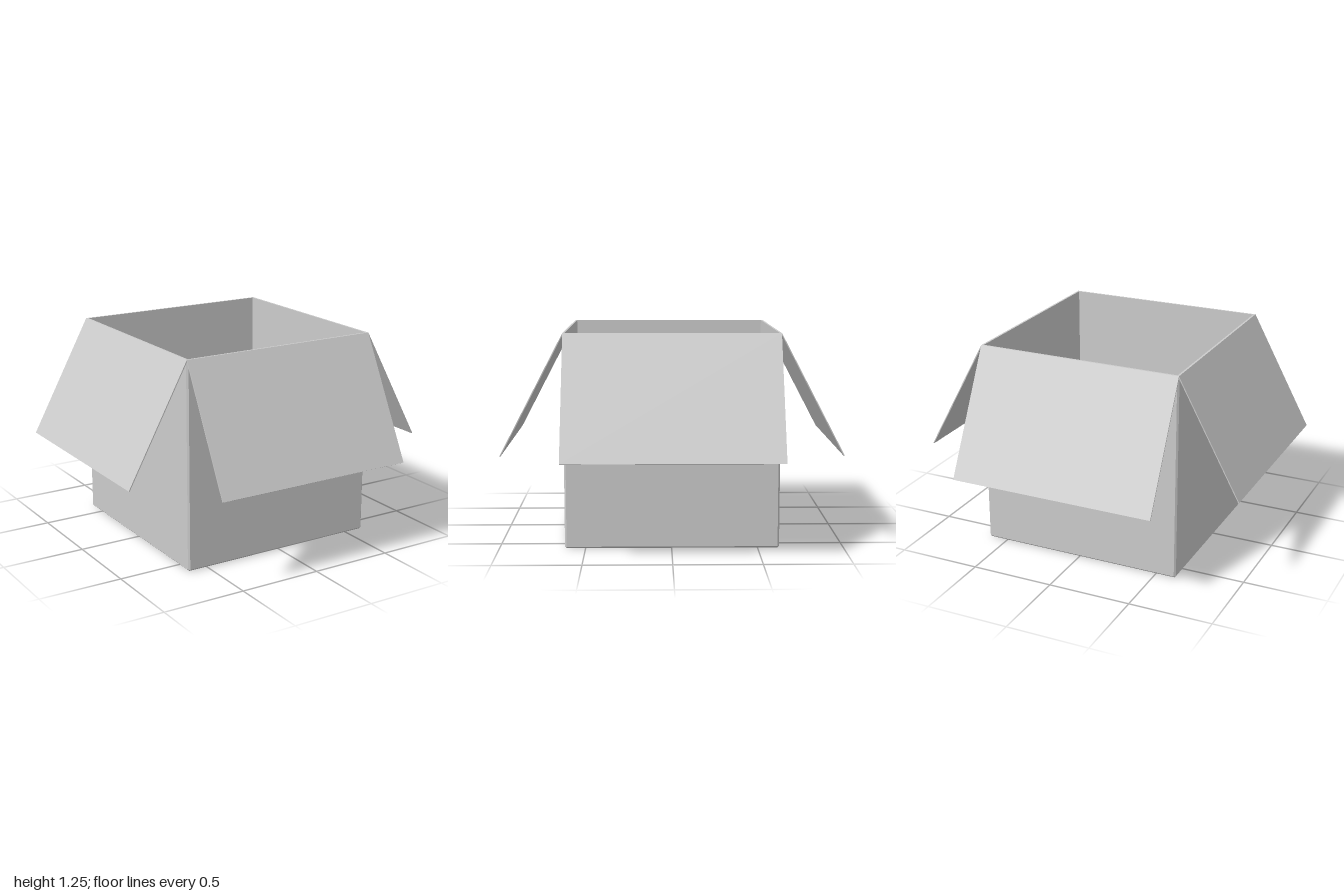
import * as THREE from 'three';
import { ConvexGeometry } from 'three/addons/geometries/ConvexGeometry.js';

const HALF = 0.623, WALL = 0.012, BEVEL = 0.01, HEIGHT = 1.25, FLAP = 0.006;

// Square outline with cut corners
function outline(h, c) {
  return [[h, c - h], [h, h - c], [h - c, h], [c - h, h],
    [-h, h - c], [-h, c - h], [c - h, -h], [h - c, -h]].map(([x, y]) => new THREE.Vector2(x, y));
}

export function createModel() {
  const model = new THREE.Group();
  model.name = 'openBox';
  const cardboard = new THREE.MeshStandardMaterial({ color: 0xcccccc });
  cardboard.name = 'cardboardGrey';

  const add = (parent, name, geometry) => {
    const mesh = new THREE.Mesh(geometry, cardboard);
    mesh.name = name;
    parent.add(mesh);
    return mesh;
  };

  const box = new THREE.Group();
  box.name = 'box';
  box.position.set(-0.002, 0, -0.003);
  model.add(box);

  // Four walls as one hollow tube with bevelled corners
  const ring = new THREE.Shape(outline(HALF, BEVEL));
  const i = HALF - WALL;
  ring.holes.push(new THREE.Path([[i, i], [i, -i], [-i, -i], [-i, i]].map(([x, y]) => new THREE.Vector2(x, y))));
  const walls = new THREE.ExtrudeGeometry(ring, { depth: HEIGHT - BEVEL, bevelEnabled: false });
  walls.rotateX(-Math.PI / 2).translate(0, BEVEL, 0);
  add(box, 'walls', walls);

  // Floor panel with a bevelled lower edge
  const b = HALF - BEVEL;
  const points = outline(HALF, BEVEL).map(p => new THREE.Vector3(p.x, BEVEL, p.y));
  for (const x of [-b, b]) for (const z of [-b, b]) points.push(new THREE.Vector3(x, 0, z));
  add(box, 'floor', new ConvexGeometry(points));
  add(box, 'floorInside', new THREE.BoxGeometry(2 * i, 0.004, 2 * i)).position.y = BEVEL + 0.002;

  // Flaps hinged on the rim and folded outwards: name, turn, reach, drop
  const flaps = [
    ['frontFlap', 0, 0.37, 0.707],
    ['leftFlap', 1, 0.377, 0.687],
    ['backFlap', 2, 0.372, 0.707],
    ['rightFlap', 3, 0.373, 0.687],
  ];
  for (const [name, turn, reach, drop] of flaps) {
    const hinge = new THREE.Group();
    hinge.name = name + 'Hinge';
    hinge.rotation.y = turn * Math.PI / 2;
    box.add(hinge);
    const length = Math.hypot(reach, drop);
    const panel = new THREE.BoxGeometry(2 * HALF, length, FLAP).translate(0, -length / 2, -FLAP / 2);
    const flap = add(hinge, name, panel);
    flap.position.set(0, HEIGHT, HALF);
    flap.rotation.x = -Math.atan2(reach, drop);
  }
  return model;
}
